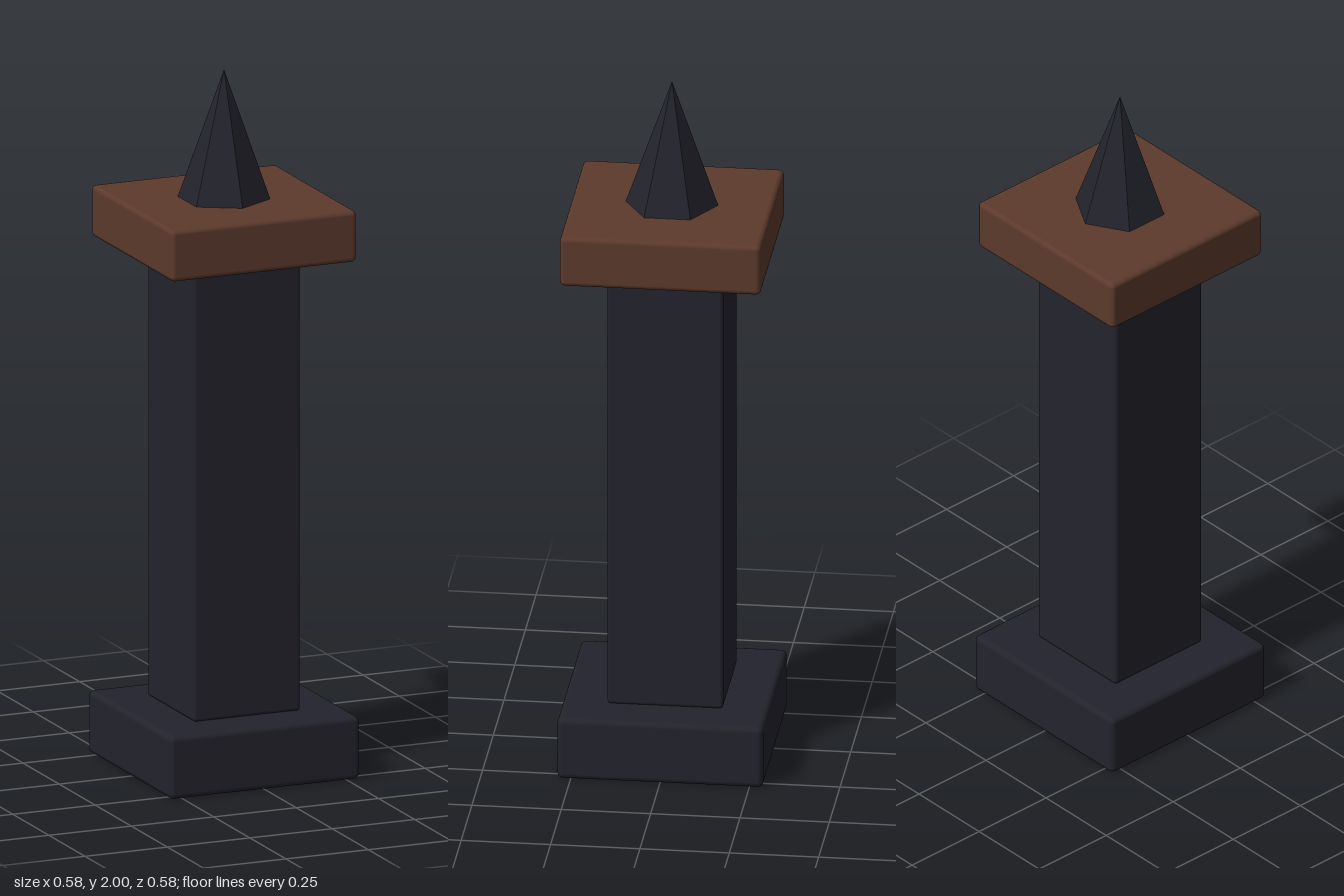
import * as THREE from 'three';
import { RoundedBoxGeometry } from 'three/addons/geometries/RoundedBoxGeometry.js';

export function createModel() {
  const model = new THREE.Group();
  model.name = 'spikedPillar';

  const iron = new THREE.MeshStandardMaterial({ color: 0x23232d });
  iron.name = 'dark iron';
  const wood = new THREE.MeshStandardMaterial({ color: 0x5c3a2c });
  wood.name = 'brown wood';

  // Square block with softened edges, spanning bottom to top
  function addBlock(name, width, bottom, top, bevel, material) {
    const geometry = new RoundedBoxGeometry(width, top - bottom, width, 2, bevel);
    const mesh = new THREE.Mesh(geometry, material);
    mesh.name = name;
    mesh.position.y = (bottom + top) / 2;
    model.add(mesh);
  }

  addBlock('base', 0.576, 0, 0.18, 0.016, iron);
  addBlock('shaft', 0.324, 0.18, 1.49, 0.01, iron);
  addBlock('capital', 0.562, 1.484, 1.632, 0.014, wood);

  // Six-sided spike with corners toward front and back
  const spikeGeometry = new THREE.ConeGeometry(0.13, 0.37, 6).toNonIndexed();
  spikeGeometry.computeVertexNormals();
  const spike = new THREE.Mesh(spikeGeometry, iron);
  spike.name = 'spike';
  spike.position.y = 1.63 + 0.185;
  model.add(spike);

  return model;
}
